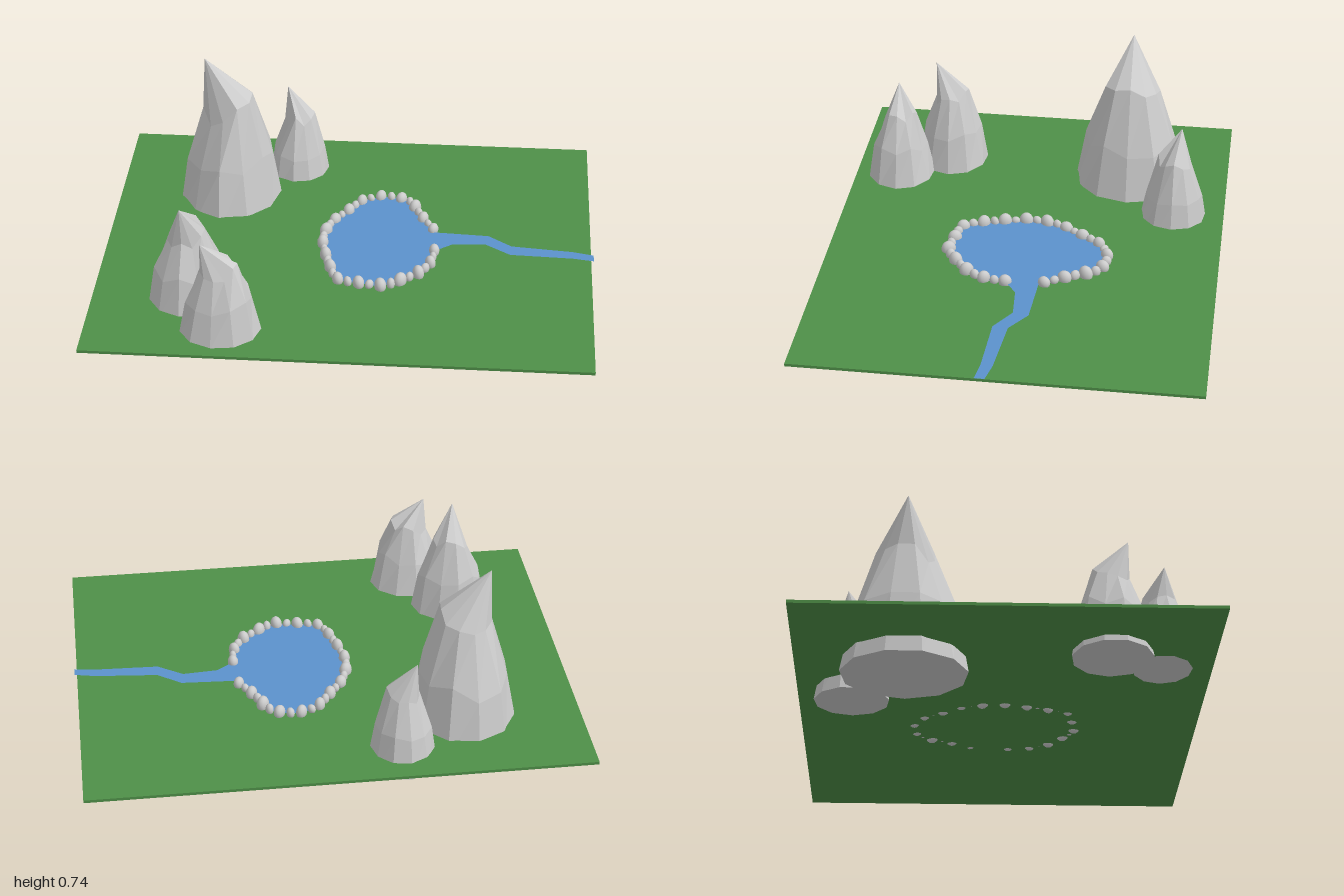
import * as THREE from 'three';

const grey = new THREE.MeshStandardMaterial({ color: 0xcccccc });
const rock = new THREE.MeshStandardMaterial({ color: 0xcccccc, flatShading: true });
const green = new THREE.MeshStandardMaterial({ color: 0x4f9048 });
const blue = new THREE.MeshStandardMaterial({ color: 0x5b92cc, side: THREE.DoubleSide });

function seeded(seed) {
  return () => (seed = (seed * 16807) % 2147483647) / 2147483647;
}

// Faceted peak: shrinking jittered rings, a leaning tip and a shallow domed underside
function mountain(name, x, z, rx, rz, baseY, tip, seed) {
  const rand = seeded(seed), sides = 11;
  const height = tip[1] - baseY;
  const lean = Math.atan2(tip[2] - z, tip[0] - x);
  const rings = [[0, 1, 0], [0.38, 0.79, 0.05], [0.7, 0.46, 0.06]].map(([t, r, wobble]) =>
    Array.from({ length: sides }, (_, i) => {
      const a = (i / sides) * Math.PI * 2;
      const k = r * (1 + (rand() - 0.5) * wobble * 2);
      // the shoulder opposite the leaning tip sits higher
      const rise = t + (rand() - 0.5) * wobble * 2 - t * 0.06 * Math.cos(a - lean);
      return [x + Math.cos(a) * rx * k, baseY + height * rise, z + Math.sin(a) * rz * k];
    }));
  const bottom = [x, baseY - rx * 0.09, z];
  const pos = [];
  const tri = (...p) => p.forEach(v => pos.push(...v));
  for (let i = 0; i < sides; i++) {
    const j = (i + 1) % sides;
    for (let k = 0; k < rings.length - 1; k++) {
      const lo = rings[k], hi = rings[k + 1];
      tri(lo[i], hi[i], lo[j]);
      tri(lo[j], hi[i], hi[j]);
    }
    tri(rings[2][i], tip, rings[2][j]);
    tri(rings[0][j], bottom, rings[0][i]);
  }
  const geo = new THREE.BufferGeometry();
  geo.setAttribute('position', new THREE.Float32BufferAttribute(pos, 3));
  geo.computeVertexNormals();
  const mesh = new THREE.Mesh(geo, rock);
  mesh.name = name;
  return mesh;
}

// Pond shoreline from the upper to the lower bank of the stream, as (x, z)
const shore = new THREE.CatmullRomCurve3([
  [0.335, -0.115], [0.28, -0.21], [0.225, -0.315], [0.13, -0.347], [0.04, -0.315],
  [-0.02, -0.235], [-0.085, -0.14], [-0.115, -0.02], [-0.1, 0.08], [-0.075, 0.17],
  [-0.035, 0.265], [0.07, 0.29], [0.15, 0.298], [0.235, 0.245], [0.29, 0.2],
  [0.335, 0.12], [0.345, 0.04],
].map(([x, z]) => new THREE.Vector3(x, 0, z)));

// Pond and stream as one flat sheet
function createWater() {
  const stream = [
    [0.415, -0.01], [0.555, -0.02], [0.655, 0.046], [0.91, 0.055], [0.995, 0.068],
    [0.995, 0.027], [0.91, 0.008], [0.66, -0.015], [0.565, -0.083], [0.34, -0.095],
  ];
  const outline = shore.getSpacedPoints(50).map(p => new THREE.Vector2(p.x, -p.z));
  stream.forEach(([x, z]) => outline.push(new THREE.Vector2(x, -z)));
  const geo = new THREE.ShapeGeometry(new THREE.Shape(outline)).rotateX(-Math.PI / 2);
  const mesh = new THREE.Mesh(geo, blue);
  mesh.name = 'water';
  mesh.position.y = 0.106;
  return mesh;
}

// Ring of alternating large and small pebbles along the shore
function createStones() {
  const group = new THREE.Group();
  group.name = 'shoreStones';
  const rand = seeded(77);
  const geo = new THREE.SphereGeometry(1, 12, 8);
  shore.getSpacedPoints(36).forEach((p, i) => {
    const r = (i % 2 ? 0.018 : 0.026) * (0.92 + rand() * 0.16);
    const stone = new THREE.Mesh(geo, grey);
    stone.name = 'stone';
    stone.position.set(p.x, 0.108, p.z);
    stone.scale.set(r * 0.88, r * (1.1 + rand() * 0.3), r * 1.1);
    stone.rotation.y = (rand() - 0.5) * 1.2;
    group.add(stone);
  });
  return group;
}

export function createModel() {
  const model = new THREE.Group();
  model.name = 'pondLandscape';

  const ground = new THREE.Mesh(new THREE.BoxGeometry(1.985, 0.012, 1.588), green);
  ground.name = 'ground';
  ground.position.set(-0.0075, 0.091, -0.003);
  model.add(ground, createWater(), createStones());

  model.add(
    mountain('tallMountain', -0.535, -0.38, 0.225, 0.245, 0.02, [-0.63, 0.735, -0.375], 11),
    mountain('backMountain', -0.262, -0.585, 0.138, 0.147, 0.028, [-0.31, 0.48, -0.608], 23),
    mountain('frontLeftMountain', -0.615, 0.4, 0.167, 0.156, 0.062, [-0.63, 0.545, 0.468], 37),
    mountain('frontRightMountain', -0.467, 0.602, 0.163, 0.144, 0.088, [-0.533, 0.49, 0.615], 53),
  );
  return model;
}
